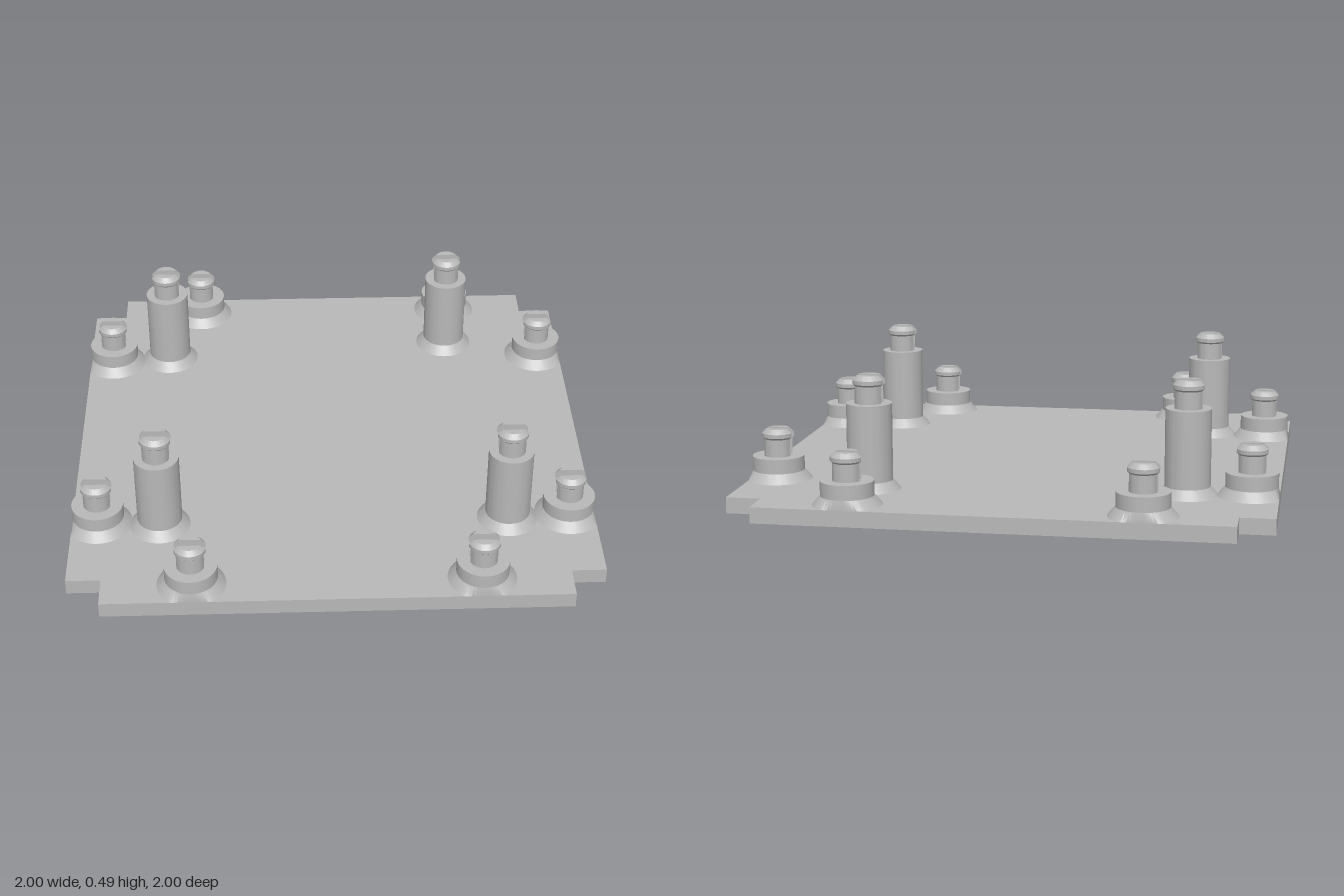
import * as THREE from 'three';
import { toCreasedNormals } from 'three/addons/utils/BufferGeometryUtils.js';

const SEG = 64;
const PLATE = 0.06; // plate thickness
const SLOT = 0.016; // half width of the slot in each pin

const lathe = (points) =>
  new THREE.LatheGeometry(points.map(([r, y]) => new THREE.Vector2(r, y)), SEG);

// Moves every vertex by a rule, then shades with sharp edges.
function reshape(geometry, rule) {
  const p = geometry.attributes.position;
  const v = new THREE.Vector3();
  for (let i = 0; i < p.count; i++) {
    v.fromBufferAttribute(p, i);
    rule(v);
    p.setXYZ(i, v.x, v.y, v.z);
  }
  return toCreasedNormals(geometry, 0.4);
}

export function createModel() {
  const grey = new THREE.MeshStandardMaterial({ color: 0xb8b8b8 });
  grey.name = 'grey plastic';
  const model = new THREE.Group();
  model.name = 'basePlateWithStandoffs';

  const add = (name, geometry, parent) => {
    const mesh = new THREE.Mesh(geometry, grey);
    mesh.name = name;
    parent.add(mesh);
    return mesh;
  };

  // Square plate with a notch in each corner
  const n = 0.87;
  const outline = new THREE.Shape(
    [[-n, -1], [n, -1], [n, -n], [1, -n], [1, n], [n, n],
      [n, 1], [-n, 1], [-n, n], [-1, n], [-1, -n], [-n, -n]]
      .map(([x, y]) => new THREE.Vector2(x, y)));
  const plate = new THREE.ExtrudeGeometry(outline, { depth: PLATE, bevelEnabled: false });
  plate.rotateX(-Math.PI / 2);
  add('plate', plate, model);

  // Half of the snap pin: everything past the slot plane is flattened onto it
  const pinHalf = reshape(
    lathe([[0, 0], [0.053, 0], [0.053, 0.066], [0.06, 0.073], [0.06, 0.088], [0.044, 0.105], [0, 0.105]]),
    (v) => {
      if (v.z >= SLOT) return;
      const r = Math.hypot(v.x, v.z);
      const limit = Math.sqrt(Math.max(0, r * r - SLOT * SLOT));
      v.x = THREE.MathUtils.clamp(v.x, -limit, limit);
      v.z = SLOT;
    });

  // Standoff: flared foot, cylindrical column and split snap pin
  function standoff(name, x, z, radius, flare, top) {
    const post = new THREE.Group();
    post.name = name;
    post.position.set(x, 0, z);
    model.add(post);

    // The foot is trimmed flush with the plate edges
    const foot = reshape(
      lathe([[flare, PLATE - 0.002], [flare, PLATE], [radius, 0.095]]),
      (v) => {
        v.x = THREE.MathUtils.clamp(v.x, -1 - x, 1 - x);
        v.z = THREE.MathUtils.clamp(v.z, -1 - z, 1 - z);
      });
    add('flaredFoot', foot, post);

    const column = lathe([[radius, 0.095], [radius, top], [0, top]]);
    add('column', toCreasedNormals(column, 0.4), post);

    for (const turn of [0, Math.PI]) {
      const half = add('snapPinHalf', pinHalf, post);
      half.position.y = top;
      half.rotation.y = turn;
    }
  }

  // Short standoffs, two along each plate edge
  for (const sx of [-1, 1]) {
    for (const sz of [-1, 1]) {
      standoff('shortStandoff', sx * 0.535, sz * 0.897, 0.098, 0.128, 0.15);
      standoff('shortStandoff', sx * 0.898, sz * 0.535, 0.098, 0.128, 0.15);
    }
  }

  // Tall standoffs, one of them offset
  for (const [x, z] of [[-0.663, -0.557], [-0.663, 0.553], [0.663, 0.553], [0.513, -0.643]]) {
    standoff('tallStandoff', x, z, 0.085, 0.115, 0.385);
  }

  return model;
}
